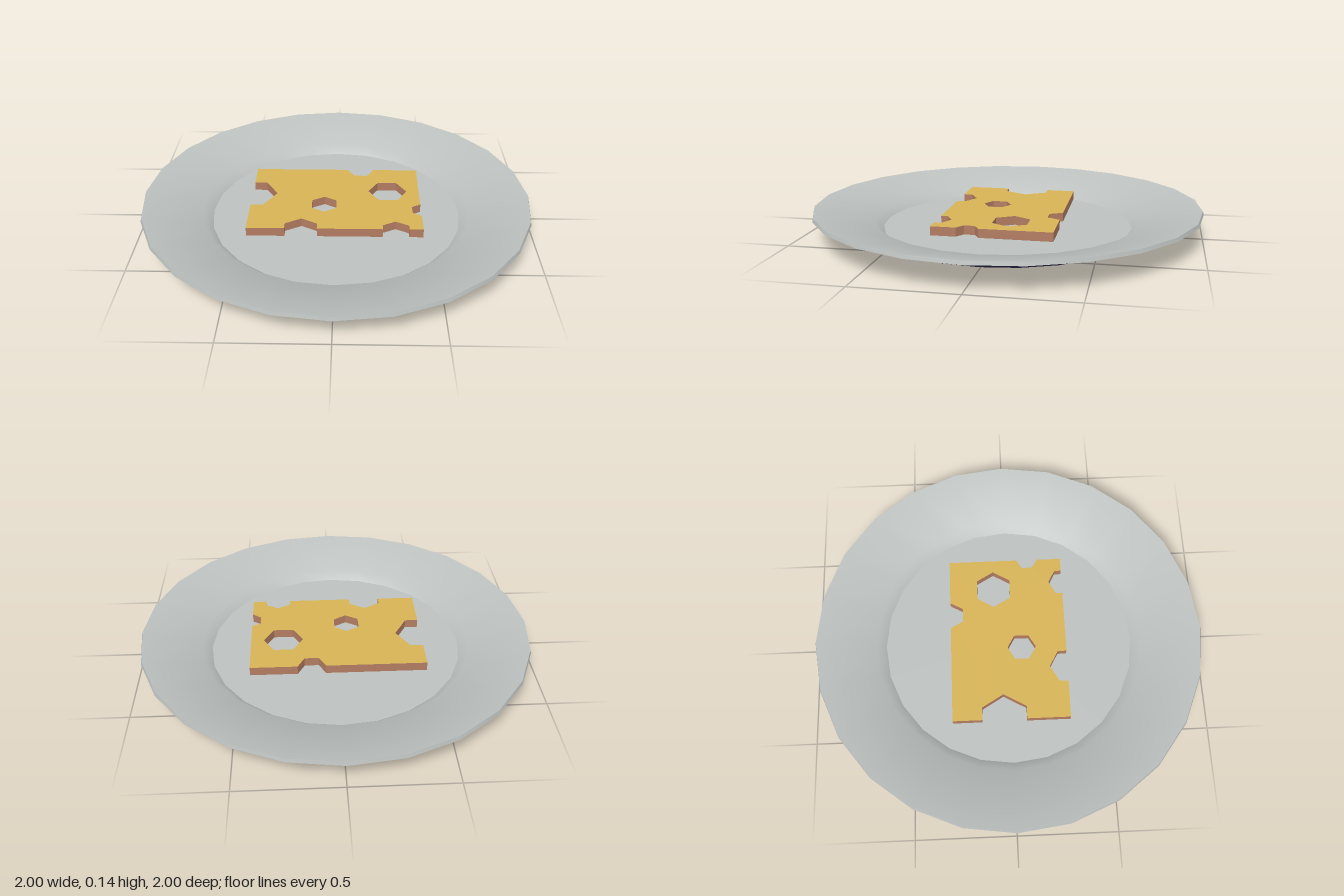
import * as THREE from 'three';
import { toCreasedNormals } from 'three/addons/utils/BufferGeometryUtils.js';

const material = (name, color) => {
  const m = new THREE.MeshStandardMaterial({ color });
  m.name = name;
  return m;
};

const points = (list) => list.map(([x, y]) => new THREE.Vector2(x, y));

// Six-sided hole outline in shape coordinates (x, -z)
function hexagon(x, z, radius, turn) {
  const corners = [];
  for (let i = 0; i < 6; i++) {
    const a = turn + (i * Math.PI) / 3;
    corners.push(new THREE.Vector2(x + radius * Math.cos(a), -z + radius * Math.sin(a)));
  }
  return new THREE.Path(corners);
}

// Turned 24-sided part, smooth round the plate with sharp edges kept
function turned(name, profile, mat) {
  const lathe = new THREE.LatheGeometry(points(profile), 24);
  const mesh = new THREE.Mesh(toCreasedNormals(lathe, 0.6), mat);
  mesh.name = name;
  return mesh;
}

export function createModel() {
  const model = new THREE.Group();
  model.name = 'cheeseOnPlate';

  const glaze = material('pale grey glaze', 0xbcc1bf);
  const base = material('dark navy underside', 0x2f2e52);
  const cheeseFace = material('golden cheese face', 0xd6b356);
  const cheeseSide = material('brown cheese side', 0xb47d62);

  // Plate: dark underside, then rim edge, sloping rim, step and floor
  const plate = new THREE.Group();
  plate.name = 'plate';
  plate.add(
    turned('plateUnderside', [[0, 0.004], [0.685, 0.018], [0.735, 0.07], [1, 0.13]], base),
    turned('plateTop', [[1, 0.13], [0.995, 0.148], [0.69, 0.079], [0.645, 0.04], [0, 0.04]], glaze)
  );
  model.add(plate);

  // Cheese slice: outline (x, z) with bitten notches round the edge
  const outline = [
    [-0.44, -0.3], [0.06, -0.3], [0.095, -0.235], [0.165, -0.235], [0.2, -0.3], [0.435, -0.3],
    [0.435, 0.06], [0.39, 0.085], [0.39, 0.14], [0.435, 0.17], [0.435, 0.295],
    [0.365, 0.295], [0.365, 0.26], [0.3, 0.225], [0.235, 0.26], [0.235, 0.295],
    [-0.09, 0.295], [-0.09, 0.25], [-0.17, 0.205], [-0.25, 0.25], [-0.25, 0.295], [-0.44, 0.295],
    [-0.44, 0.075], [-0.375, 0.075], [-0.31, -0.04], [-0.375, -0.15], [-0.44, -0.15],
  ];
  const shape = new THREE.Shape(points(outline.map(([x, z]) => [x, -z])));
  shape.holes.push(hexagon(-0.06, 0.065, 0.073, Math.PI / 6), hexagon(0.27, -0.07, 0.1, 0));

  const slice = new THREE.ExtrudeGeometry(shape, { depth: 0.045, bevelEnabled: false });
  slice.rotateX(-Math.PI / 2);
  const cheese = new THREE.Mesh(slice, [cheeseFace, cheeseSide]);
  cheese.name = 'cheeseSlice';
  cheese.position.y = 0.078;
  model.add(cheese);

  return model;
}
